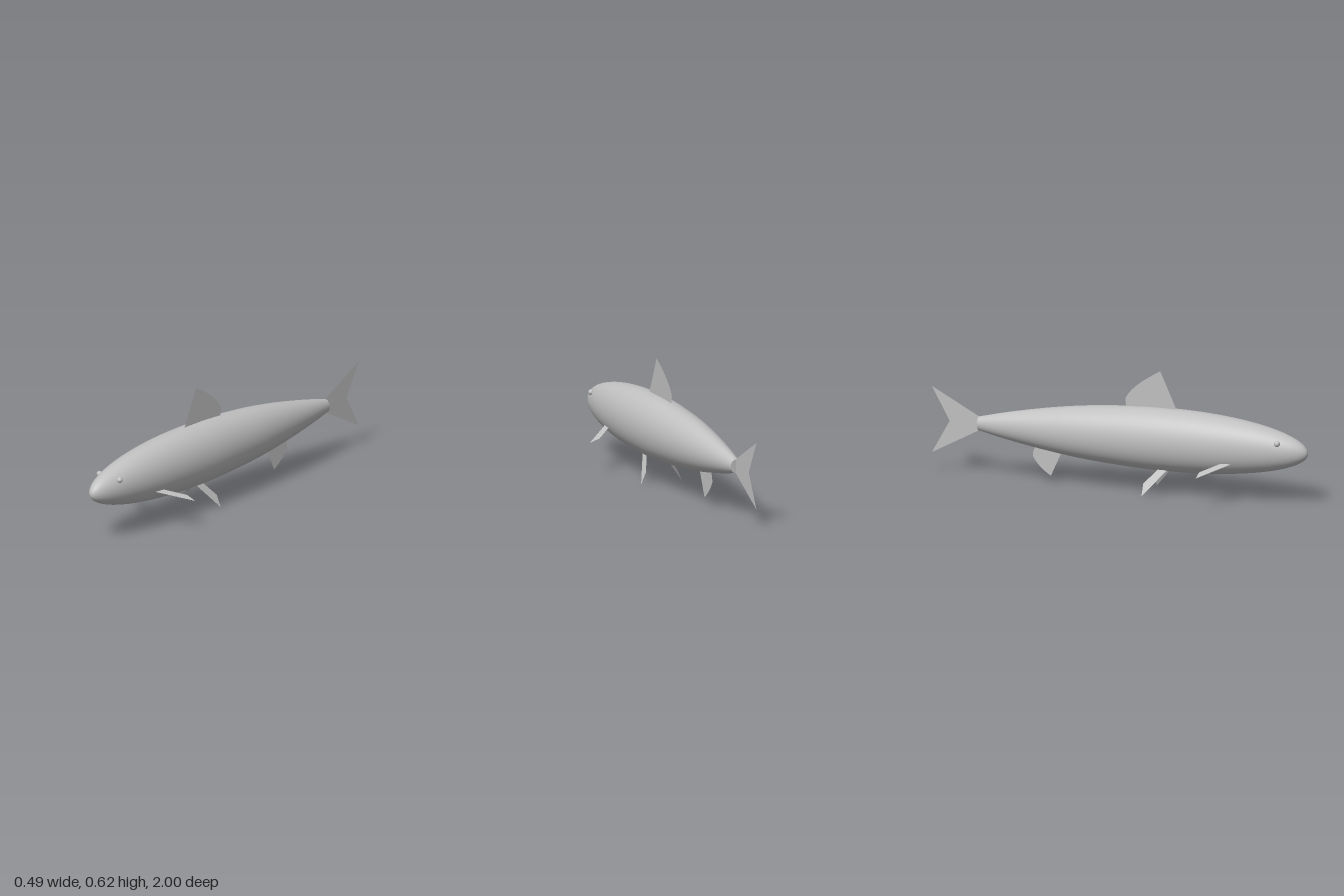
import * as THREE from 'three';

const grey = new THREE.MeshStandardMaterial({ color: 0xc0c0c0, side: THREE.DoubleSide });
grey.name = 'silver grey';

const WIDTH = 0.813; // body width relative to its height

function add(parent, name, geometry) {
  const mesh = new THREE.Mesh(geometry, grey);
  mesh.name = name;
  parent.add(mesh);
  return mesh;
}

// Upright fin on the centre plane, drawn as a shape in (z, y)
function medianFin(parent, name, draw) {
  const shape = new THREE.Shape();
  draw(shape);
  const geo = new THREE.ShapeGeometry(shape, 16);
  geo.rotateY(-Math.PI / 2); // shape x becomes z
  add(parent, name, geo);
}

// Swept four-cornered fin, built on both sides
function pairedFin(parent, name, corners) {
  for (const side of [1, -1]) {
    const geo = new THREE.BufferGeometry();
    const pos = corners.flatMap(([x, y, z]) => [x * side, y, z]);
    geo.setAttribute('position', new THREE.Float32BufferAttribute(pos, 3));
    geo.setIndex(side > 0 ? [0, 1, 2, 0, 2, 3] : [0, 2, 1, 0, 3, 2]);
    geo.computeVertexNormals();
    add(parent, (side > 0 ? 'left' : 'right') + name, geo);
  }
}

export function createModel() {
  const fish = new THREE.Group();
  fish.name = 'fish';

  // Body: half-height along z, a smooth taper behind and an elliptical nose
  const rear = new THREE.SplineCurve([
    [0.035, -0.75], [0.069, -0.6], [0.106, -0.4], [0.134, -0.2], [0.151, 0], [0.159, 0.15], [0.16, 0.27],
  ].map(([r, z]) => new THREE.Vector2(r, z)));
  const profile = rear.getPoints(40);
  for (let i = 1; i <= 32; i++) {
    const a = (i / 32) * Math.PI / 2;
    profile.push(new THREE.Vector2(Math.max(0, 0.16 * Math.cos(a)), 0.27 + 0.73 * Math.sin(a)));
  }
  const body = new THREE.LatheGeometry(profile, 64);
  body.rotateX(Math.PI / 2);
  body.scale(WIDTH, 1, 1);
  // Deeper sections ride slightly higher
  const pos = body.attributes.position;
  const rows = profile.length;
  for (let i = 0; i < pos.count; i++) {
    pos.setY(i, pos.getY(i) + 0.267 + 0.06 * profile[i % rows].x);
  }
  add(fish, 'body', body);

  // Flat end of the body at the tail root
  const cap = new THREE.CircleGeometry(0.035, 64);
  cap.rotateY(Math.PI);
  cap.scale(WIDTH, 1, 1);
  add(fish, 'tailRoot', cap).position.set(0, 0.269, -0.75);

  // Eyes
  for (const side of [1, -1]) {
    add(fish, side > 0 ? 'leftEye' : 'rightEye', new THREE.SphereGeometry(0.015, 20, 14))
      .position.set(0.068 * side, 0.325, 0.86);
  }

  // Fins on the centre plane
  medianFin(fish, 'dorsalFin', (s) => {
    s.moveTo(0.31, 0.415);
    s.lineTo(0.215, 0.625);
    s.quadraticCurveTo(0.07, 0.545, 0.032, 0.475);
    s.quadraticCurveTo(0.026, 0.455, 0.04, 0.41);
  });
  medianFin(fish, 'analFin', (s) => {
    s.moveTo(-0.3, 0.18);
    s.lineTo(-0.367, 0.032);
    s.quadraticCurveTo(-0.435, 0.075, -0.462, 0.125);
    s.quadraticCurveTo(-0.468, 0.14, -0.44, 0.2);
  });
  medianFin(fish, 'tailFin', (s) => {
    s.moveTo(-0.745, 0.303);
    s.lineTo(-1, 0.44);
    s.lineTo(-0.905, 0.268);
    s.lineTo(-1, 0.097);
    s.lineTo(-0.745, 0.235);
  });

  // Paired fins, rooted inside the body
  pairedFin(fish, 'PectoralFin', [
    [0.085, 0.211, 0.64], [0.243, 0.156, 0.49], [0.188, 0.175, 0.49], [0.085, 0.211, 0.588],
  ]);
  pairedFin(fish, 'PelvicFin', [
    [0.042, 0.153, 0.288], [0.112, 0, 0.155], [0.085, 0.06, 0.155], [0.042, 0.153, 0.24],
  ]);

  return fish;
}
